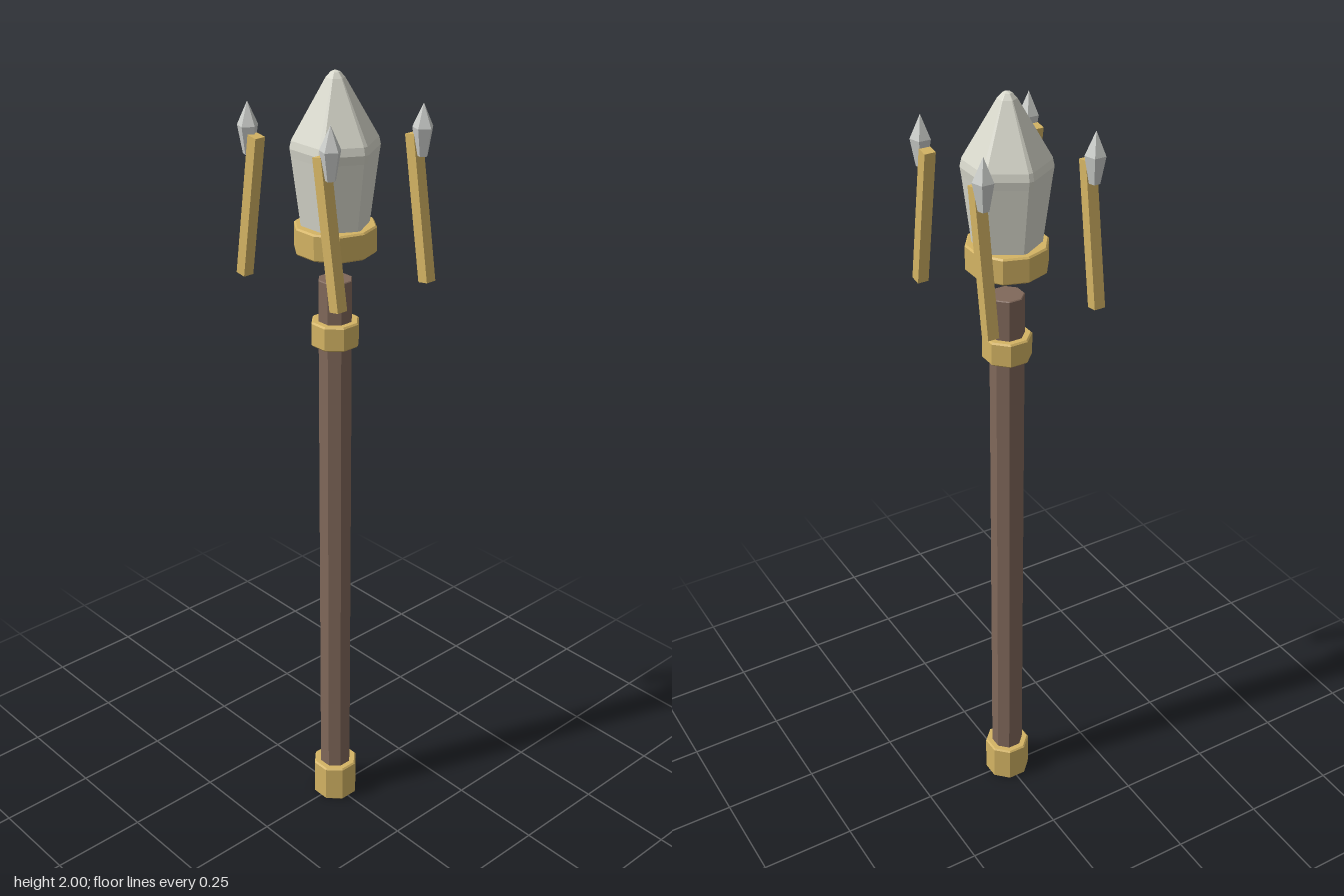
import * as THREE from 'three';

const paint = (name, color) => {
  const m = new THREE.MeshStandardMaterial({ color });
  m.name = name;
  return m;
};

// Give every face its own flat normal
function faceted(geometry) {
  const g = geometry.index ? geometry.toNonIndexed() : geometry;
  g.computeVertexNormals();
  return g;
}

function lathe(points, sides, start) {
  return new THREE.LatheGeometry(points.map(([r, y]) => new THREE.Vector2(r, y)), sides, start);
}

// Straight band with small bevels on both rims
function bandGeometry(r, y0, y1, sides, start, bevel = 0.004) {
  return faceted(lathe([
    [0, y0], [r - bevel, y0], [r, y0 + bevel],
    [r, y1 - bevel], [r - bevel, y1], [0, y1],
  ], sides, start));
}

// Hexagonal gem: twelve sides pulled together in pairs, leaving narrow bevelled edges
function gemGeometry() {
  const profile = [[0, 1.62], [0.077, 1.62], [0.101, 1.81], [0.104, 1.83],
    [0.100, 1.848], [0.022, 1.984], [0.011, 1.996], [0, 2]];
  const g = lathe(profile, 12, 0);
  const p = g.attributes.position;
  const rows = profile.length;
  for (let i = 0; i < p.count; i++) {
    const side = Math.floor(i / rows);
    const [r, y] = profile[i % rows];
    const a = Math.PI / 2 + Math.floor(side / 2) * Math.PI / 3 + (side % 2 ? 0.055 : -0.055);
    p.setXYZ(i, r * Math.sin(a), y, r * Math.cos(a));
  }
  return faceted(g);
}

export function createModel() {
  const model = new THREE.Group();
  model.name = 'staff';
  const wood = paint('dark wood', 0x80685a);
  const gold = paint('gold', 0xd4b464);
  const crystal = paint('pale crystal', 0xd8d8cc);
  const silver = paint('silver crystal', 0xcccecb);

  const add = (name, geometry, material, parent = model) => {
    const mesh = new THREE.Mesh(geometry, material);
    mesh.name = name;
    parent.add(mesh);
    return mesh;
  };

  // Shaft and its metal bands
  const turn = Math.PI / 8;
  add('shaft', bandGeometry(0.042, 0.003, 1.515, 8, turn, 0.002), wood);
  add('pommel', bandGeometry(0.06, 0, 0.105, 8, turn), gold);
  add('collar', bandGeometry(0.06, 1.35, 1.412, 8, turn), gold);

  // Floating head
  add('gemSocket', bandGeometry(0.098, 1.585, 1.65, 10, Math.PI / 2), gold);
  add('gem', gemGeometry(), crystal);

  // Four leaning prongs, each with a floating shard
  const barGeometry = new THREE.BoxGeometry(0.028, 0.343, 0.028);
  const shardGeometry = faceted(lathe(
    [[0, -0.06], [0.013, -0.06], [0.025, 0.005], [0, 0.06]], 5, Math.PI / 2));
  for (const sx of [-1, 1]) {
    for (const sz of [-1, 1]) {
      const prong = new THREE.Group();
      prong.name = (sz > 0 ? 'front' : 'back') + (sx > 0 ? 'Left' : 'Right') + 'Prong';
      model.add(prong);
      const bar = add('prongBar', barGeometry, gold, prong);
      bar.position.set(sx * 0.136, 1.687, sz * 0.139);
      bar.rotation.z = sx * 0.16;
      const shard = add('prongShard', shardGeometry, silver, prong);
      shard.position.set(sx * 0.138, 1.87, sz * 0.139);
    }
  }
  return model;
}
